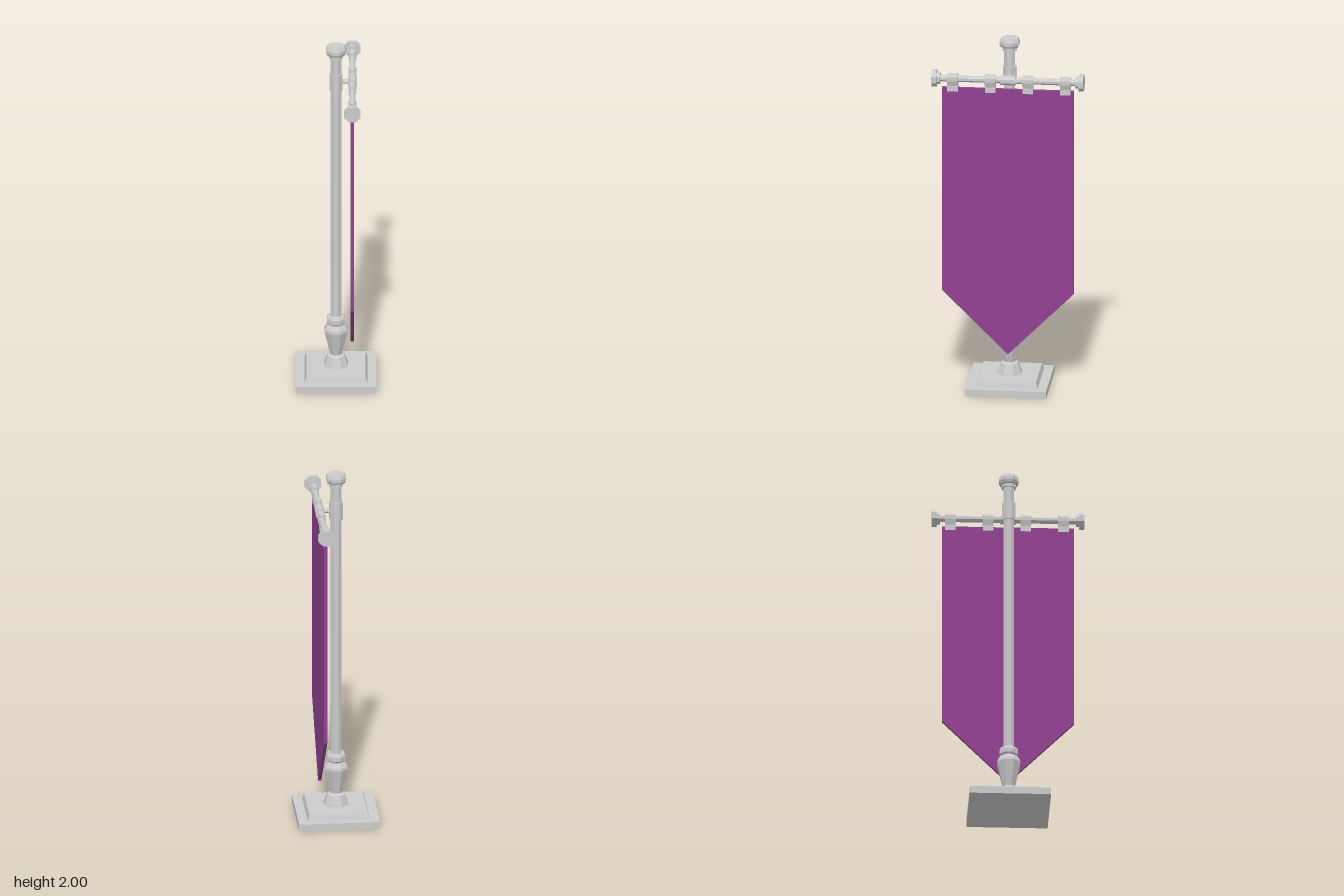
import * as THREE from 'three';

const BAR_X = 0.089, BAR_Y = 1.785;
const grey = new THREE.MeshStandardMaterial({ color: 0xcccccc, flatShading: true, side: THREE.DoubleSide });
const purple = new THREE.MeshStandardMaterial({ color: 0x924292, flatShading: true });

function add(parent, name, geometry, material = grey) {
  const mesh = new THREE.Mesh(geometry, material);
  mesh.name = name;
  parent.add(mesh);
  return mesh;
}

// Eight-sided turned part with flats facing the axes; profile is [half width, height]
function turned(profile) {
  const k = 1 / Math.cos(Math.PI / 8);
  const points = profile.map(([r, y]) => new THREE.Vector2(r * k, y));
  return new THREE.LatheGeometry(points, 8, Math.PI / 8);
}

// Outline in the given plane, extruded evenly to both sides of it
function slab(points, depth) {
  const shape = new THREE.Shape(points.map(([x, y]) => new THREE.Vector2(x, y)));
  return new THREE.ExtrudeGeometry(shape, { depth, bevelEnabled: false }).translate(0, 0, -depth / 2);
}

export function createModel() {
  const model = new THREE.Group();
  model.name = 'bannerStand';

  // Square stepped base
  add(model, 'basePlate', new THREE.BoxGeometry(0.442, 0.04, 0.442)).position.y = 0.02;
  const step = new THREE.CylinderGeometry(0.16 * Math.SQRT2, 0.17 * Math.SQRT2, 0.032, 4);
  add(model, 'baseStep', step.rotateY(Math.PI / 4)).position.y = 0.056;

  // Pole with its turned details
  add(model, 'foot', turned([[0, 0.07], [0.066, 0.07], [0.062, 0.085], [0.046, 0.13], [0.03, 0.14], [0, 0.14]]));
  add(model, 'vase', turned([[0, 0.135], [0.031, 0.135], [0.063, 0.28], [0.06, 0.295], [0.04, 0.325], [0, 0.325]]));
  add(model, 'collar', turned([[0, 0.32], [0.042, 0.32], [0.05, 0.33], [0.05, 0.355], [0.042, 0.37], [0, 0.37]]));
  add(model, 'pole', turned([[0.029, 0.36], [0.029, 1.94]]));
  add(model, 'sleeve', turned([[0.028, 1.737], [0.036, 1.737], [0.036, 1.838], [0.028, 1.838]]));
  add(model, 'finial', turned([
    [0.028, 1.93], [0.038, 1.93], [0.038, 1.948], [0.046, 1.95],
    [0.053, 1.965], [0.053, 1.982], [0.045, 2], [0, 2],
  ]));

  // Crossbar, its boss and the arm that holds it
  const crossbar = new THREE.Group();
  crossbar.name = 'crossbar';
  crossbar.position.set(BAR_X, BAR_Y, 0);
  model.add(crossbar);
  add(crossbar, 'rod', turned([[0.0165, -0.39], [0.0165, 0.39]]).rotateX(Math.PI / 2));
  add(crossbar, 'boss', turned([[0, -0.041], [0.025, -0.041], [0.025, 0.041], [0, 0.041]]).rotateX(Math.PI / 2));
  add(crossbar, 'arm', turned([[0.011, 0], [0.011, 0.065]]).rotateZ(Math.PI / 2));
  for (const side of [-1, 1]) {
    const knob = turned([[0, 0.37], [0.03, 0.37], [0.03, 0.388], [0.044, 0.388], [0.044, 0.415], [0, 0.415]]);
    add(crossbar, side > 0 ? 'frontKnob' : 'backKnob', knob.rotateX(side * Math.PI / 2));
  }

  // Cloth straps looped over the rod and gripping the top hem
  const strap = [
    [-0.012, -0.072], [0.012, -0.072], [0.012, -0.04], [0.022, -0.01], [0.022, 0.012],
    [0.012, 0.027], [-0.012, 0.027], [-0.022, 0.012], [-0.022, -0.01], [-0.012, -0.04],
  ];
  for (let i = 0; i < 4; i++) {
    add(crossbar, 'strap' + (i + 1), slab(strap, 0.058)).position.z = -0.314 + i * 0.2053;
  }

  // Banner with a pointed lower edge
  const cloth = slab([[-0.36, 0.567], [0, 0.207], [0.36, 0.567], [0.36, 1.735], [-0.36, 1.735]], 0.018);
  add(model, 'banner', cloth.rotateY(Math.PI / 2), purple).position.x = BAR_X;

  return model;
}
